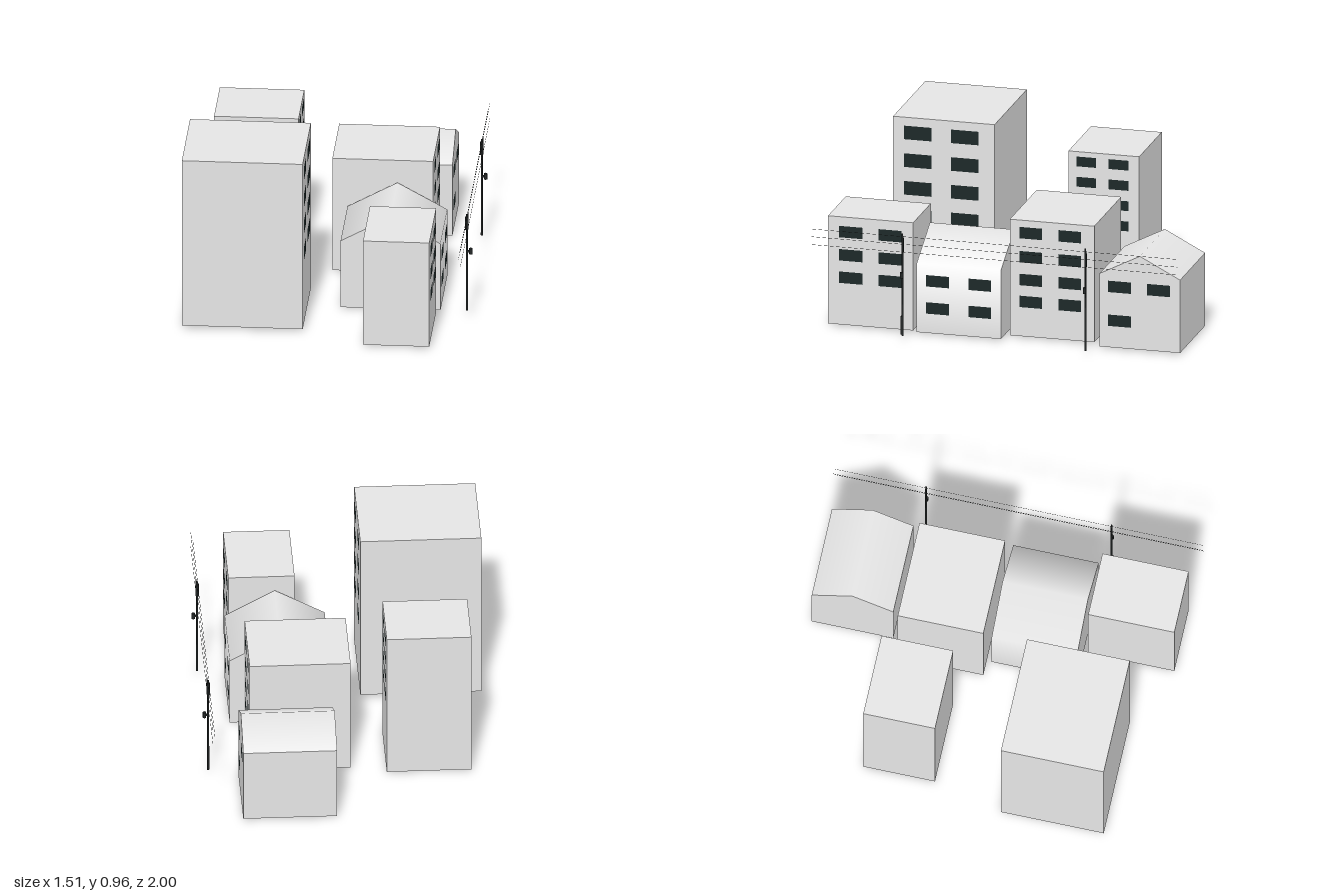
import * as THREE from 'three';
import { mergeGeometries } from 'three/addons/utils/BufferGeometryUtils.js';

const wallMat = new THREE.MeshStandardMaterial({ color: 0xe5e5e5, side: THREE.DoubleSide });
wallMat.name = 'pale grey wall';
const glassMat = new THREE.MeshStandardMaterial({ color: 0x1a2727 });
glassMat.name = 'dark window';
const poleMat = new THREE.MeshStandardMaterial({ color: 0x222626 });
poleMat.name = 'dark pole';

function add(parent, name, geometry, material, x, y, z) {
  const mesh = new THREE.Mesh(geometry, material);
  mesh.name = name;
  mesh.position.set(x, y, z);
  parent.add(mesh);
  return mesh;
}

// Shell without a floor: an outline (left foot, over the top, right foot) swept along z,
// closed by flat ends. Outline corners listed in smooth are shaded softly.
function shellGeometry(points, depth, smooth) {
  const outline = points.map(([x, y]) => new THREE.Vector2(x, y));
  const d = depth / 2;
  const facets = outline.slice(1).map((q, i) =>
    new THREE.Vector2(outline[i].y - q.y, q.x - outline[i].x).normalize());
  const normalAt = (corner, facet) => smooth.includes(corner)
    ? facets[corner - 1].clone().add(facets[corner]).normalize() : facets[facet];

  const position = [], normal = [], index = [];
  facets.forEach((_, i) => {
    [[i, d], [i + 1, d], [i + 1, -d], [i, -d]].forEach(([c, z]) => {
      const n = normalAt(c, i);
      position.push(outline[c].x, outline[c].y, z);
      normal.push(n.x, n.y, 0);
    });
    index.push(...[0, 1, 2, 0, 2, 3].map((k) => k + i * 4));
  });
  const sweep = new THREE.BufferGeometry();
  sweep.setAttribute('position', new THREE.Float32BufferAttribute(position, 3));
  sweep.setAttribute('normal', new THREE.Float32BufferAttribute(normal, 3));
  sweep.setIndex(index);

  const front = new THREE.ShapeGeometry(new THREE.Shape(outline)).translate(0, 0, d);
  front.deleteAttribute('uv');
  return mergeGeometries([sweep, front, front.clone().rotateY(Math.PI)]);
}

// x, y, z: extents; cols: window centres in z; rows: window centres in y; win: [width, height]
const buildings = [
  { name: 'tallBlock', x: [-0.757, -0.118], y: [0.013, 0.958], z: [0.231, 0.786],
    cols: [0.651, 0.394], rows: [0.874, 0.721, 0.568, 0.415], win: [0.15, 0.075] },
  { name: 'rearBlock', x: [-0.66, -0.213], y: [0, 0.816], z: [-0.533, -0.146],
    cols: [-0.244, -0.421], rows: [0.762, 0.65, 0.538, 0.426], win: [0.108, 0.054] },
  { name: 'middleBlock', x: [-0.025, 0.508], y: [0.007, 0.648], z: [-0.487, -0.025],
    cols: [-0.14, -0.354], rows: [0.579, 0.446, 0.32, 0.199], win: [0.124, 0.063] },
  { name: 'frontBlock', x: [0.214, 0.564], y: [0.007, 0.602], z: [0.488, 0.953],
    cols: [0.828, 0.614], rows: [0.52, 0.392, 0.268], win: [0.128, 0.063] },
  { name: 'sideGableHouse', x: [0.057, 0.585], y: [0.007, 0.532], z: [0.002, 0.463],
    eave: 0.387, ridgeAxis: 'z', smooth: [1, 2, 3],
    cols: [0.348, 0.118], rows: [0.295, 0.145], win: [0.124, 0.063] },
  { name: 'endGableHouse', x: [0.075, 0.57], y: [0.007, 0.523], z: [-0.973, -0.533],
    eave: 0.41, ridgeAxis: 'x', smooth: [2],
    cols: [-0.643, -0.855], rows: [0.343, 0.156], win: [0.125, 0.063], skip: [[1, 1]] },
];

function makeBuilding(b) {
  const group = new THREE.Group();
  group.name = b.name;
  const [sx, sy, sz] = [b.x, b.y, b.z].map(([lo, hi]) => hi - lo);
  const [cx, cz] = [b.x, b.z].map(([lo, hi]) => (lo + hi) / 2);
  const alongX = b.ridgeAxis === 'x';
  const w = (alongX ? sz : sx) / 2;
  const eave = b.ridgeAxis ? b.eave - b.y[0] : sy;
  const ridge = b.ridgeAxis ? [[0, sy]] : [];
  const outline = [[-w, 0], [-w, eave], ...ridge, [w, eave], [w, 0]];
  const shell = shellGeometry(outline, alongX ? sx : sz, b.smooth ?? []);
  if (alongX) shell.rotateY(Math.PI / 2);
  add(group, 'wallsAndRoof', shell, wallMat, cx, b.y[0], cz);

  // Windows on the street side
  const pane = new THREE.PlaneGeometry(b.win[0], b.win[1]).rotateY(Math.PI / 2);
  b.cols.forEach((z, c) => b.rows.forEach((y, r) => {
    if (b.skip?.some(([sc, sr]) => sc === c && sr === r)) return;
    add(group, 'window', pane, glassMat, b.x[1] + 0.0015, y, z);
  }));
  return group;
}

// Utility pole with wire brackets and a small canister
function makePole(z) {
  const group = new THREE.Group();
  group.name = 'utilityPole';
  group.position.set(0.728, 0, z);
  add(group, 'shaft', new THREE.CylinderGeometry(0.005, 0.006, 0.55, 8), poleMat, 0, 0.303, 0);
  add(group, 'topBracket', new THREE.BoxGeometry(0.005, 0.1, 0.008), poleMat, 0.005, 0.543, 0);
  add(group, 'backBracket', new THREE.BoxGeometry(0.005, 0.075, 0.008), poleMat, -0.007, 0.526, 0);
  add(group, 'canisterArm', new THREE.BoxGeometry(0.02, 0.01, 0.008), poleMat, 0.012, 0.367, 0);
  add(group, 'canister', new THREE.CylinderGeometry(0.009, 0.009, 0.033, 8), poleMat, 0.02, 0.367, 0);
  return group;
}

export function createModel() {
  const model = new THREE.Group();
  model.name = 'streetBlock';
  buildings.forEach((b) => model.add(makeBuilding(b)));
  [0.5, -0.5].forEach((z) => model.add(makePole(z)));

  // Meter box low on the front pole
  add(model, 'meterBox', new THREE.BoxGeometry(0.01, 0.1, 0.012), poleMat, 0.728, 0.085, 0.504);

  // Overhead wires
  const wire = new THREE.CylinderGeometry(0.0008, 0.0008, 2, 5).rotateX(Math.PI / 2);
  [[0.732, 0.576], [0.721, 0.53], [0.732, 0.49]].forEach(([x, y]) => add(model, 'wire', wire, poleMat, x, y, 0));
  return model;
}
